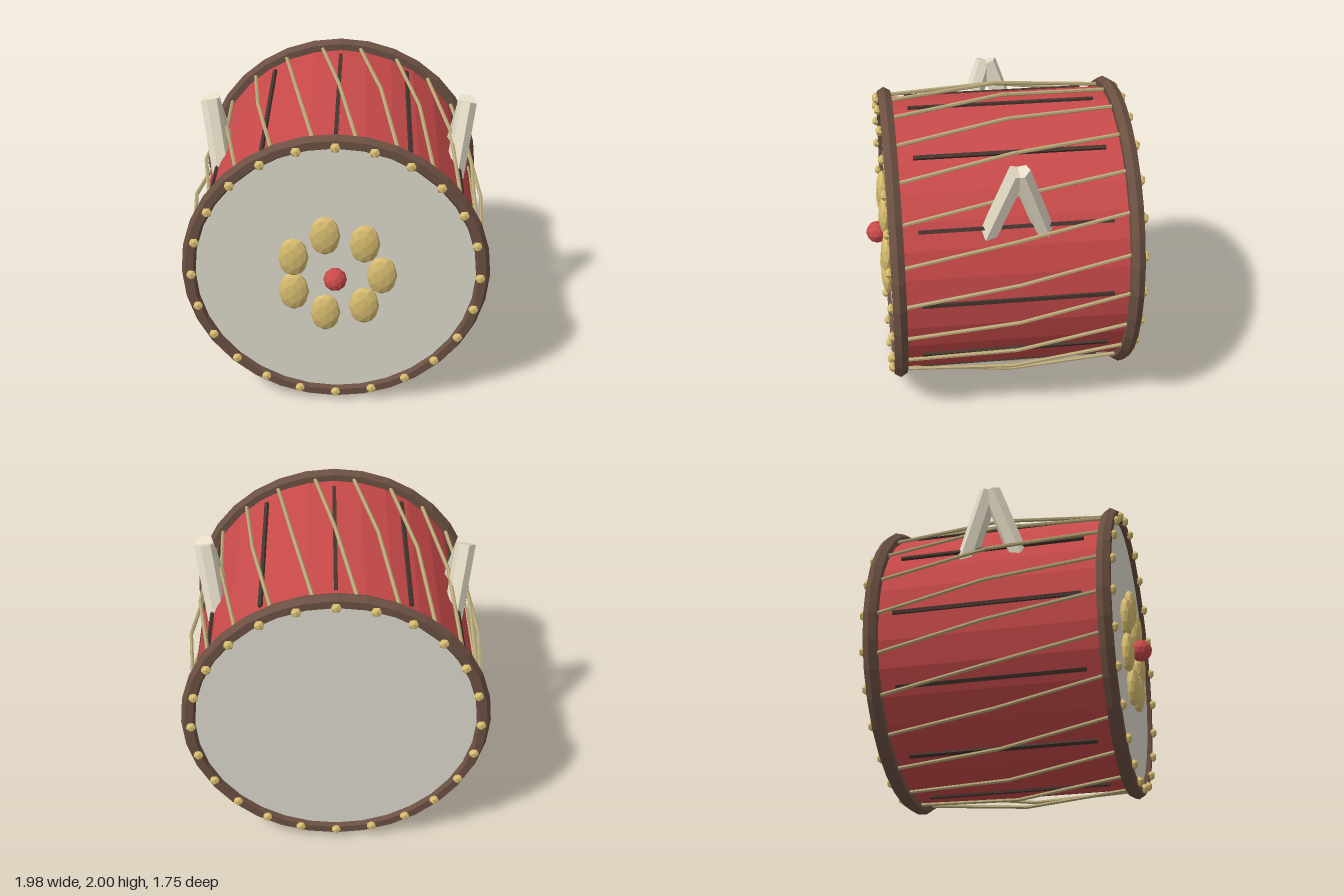
import * as THREE from 'three';

const mat = (color) => new THREE.MeshStandardMaterial({ color, flatShading: true });
const RED = mat(0xc94a4a), BROWN = mat(0x6b5042), DARK = mat(0x46352f), SKIN = mat(0xdcd8cc);
const GOLD = mat(0xd8bd70), CORD = mat(0xb8a878), IVORY = mat(0xe6dec8);

export function createModel() {
  const drum = new THREE.Group();
  drum.name = 'drum';
  drum.position.set(0, 1, -0.05); // drum axis runs along z

  const add = (name, geometry, material, x = 0, y = 0, z = 0) => {
    const mesh = new THREE.Mesh(geometry, material);
    mesh.name = name;
    mesh.position.set(x, y, z);
    drum.add(mesh);
    return mesh;
  };
  const polar = (r, a, z) => new THREE.Vector3(r * Math.cos(a), r * Math.sin(a), z);
  // straight prism between two points
  const rod = (name, a, b, radius, sides, material) => {
    const mesh = add(name, new THREE.CylinderGeometry(radius, radius, a.distanceTo(b), sides), material);
    mesh.position.lerpVectors(a, b, 0.5);
    mesh.quaternion.setFromUnitVectors(new THREE.Vector3(0, 1, 0), b.clone().sub(a).normalize());
    return mesh;
  };

  // shell
  add('shell', new THREE.CylinderGeometry(0.92, 0.92, 1.46, 32, 1, true).rotateX(Math.PI / 2), RED);

  // heads, rims and rim studs at both ends
  const studGeometry = new THREE.IcosahedronGeometry(0.035, 0).scale(1, 1, 0.75);
  for (const side of [1, -1]) {
    const head = add('drumHead', new THREE.CircleGeometry(0.92, 32), SKIN, 0, 0, side * 0.765);
    if (side < 0) head.rotation.y = Math.PI;
    add('rim', new THREE.TorusGeometry(0.94, 0.05, 6, 32), BROWN, 0, 0, side * 0.75);
    for (let i = 0; i < 24; i++) {
      const p = polar(0.923, (i / 24) * Math.PI * 2, side * 0.805);
      add('rimStud', studGeometry, GOLD, p.x, p.y, p.z);
    }
  }

  // dark seams along the shell
  for (let i = 0; i < 12; i++) {
    const a = (i / 12) * Math.PI * 2;
    const p = polar(0.922, a, 0);
    add('seam', new THREE.BoxGeometry(0.025, 0.025, 1.22), DARK, p.x, p.y, 0).rotation.z = a;
  }

  // slanted tension cords, pushed outward at mid length
  const step = (Math.PI * 2) / 22;
  for (let i = 0; i < 22; i++) {
    const a = i * step;
    const middle = polar(0.987, a + step / 2, 0);
    rod('cord', polar(0.935, a, 0.73), middle, 0.013, 6, CORD);
    rod('cord', middle, polar(0.935, a + step, -0.73), 0.013, 6, CORD);
  }

  // flower on the front head
  const petalGeometry = new THREE.IcosahedronGeometry(1, 1).scale(0.098, 0.14, 0.045);
  for (let i = 0; i < 7; i++) {
    const p = polar(0.297, (i / 7) * Math.PI * 2, 0.795);
    add('petal', petalGeometry, GOLD, p.x, p.y + 0.01, p.z);
  }
  add('flowerCentre', new THREE.IcosahedronGeometry(0.075, 1), RED, 0, 0.01, 0.85);

  // V-shaped brackets on both sides
  for (const sx of [1, -1]) {
    for (const sz of [1, -1]) {
      rod('bracketLeg', new THREE.Vector3(sx * 0.845, 0.865, sz * 0.008),
        new THREE.Vector3(sx * 0.77, 0.395, sz * 0.18), 0.065, 6, IVORY);
    }
  }

  const model = new THREE.Group();
  model.name = 'model';
  model.add(drum);
  return model;
}
